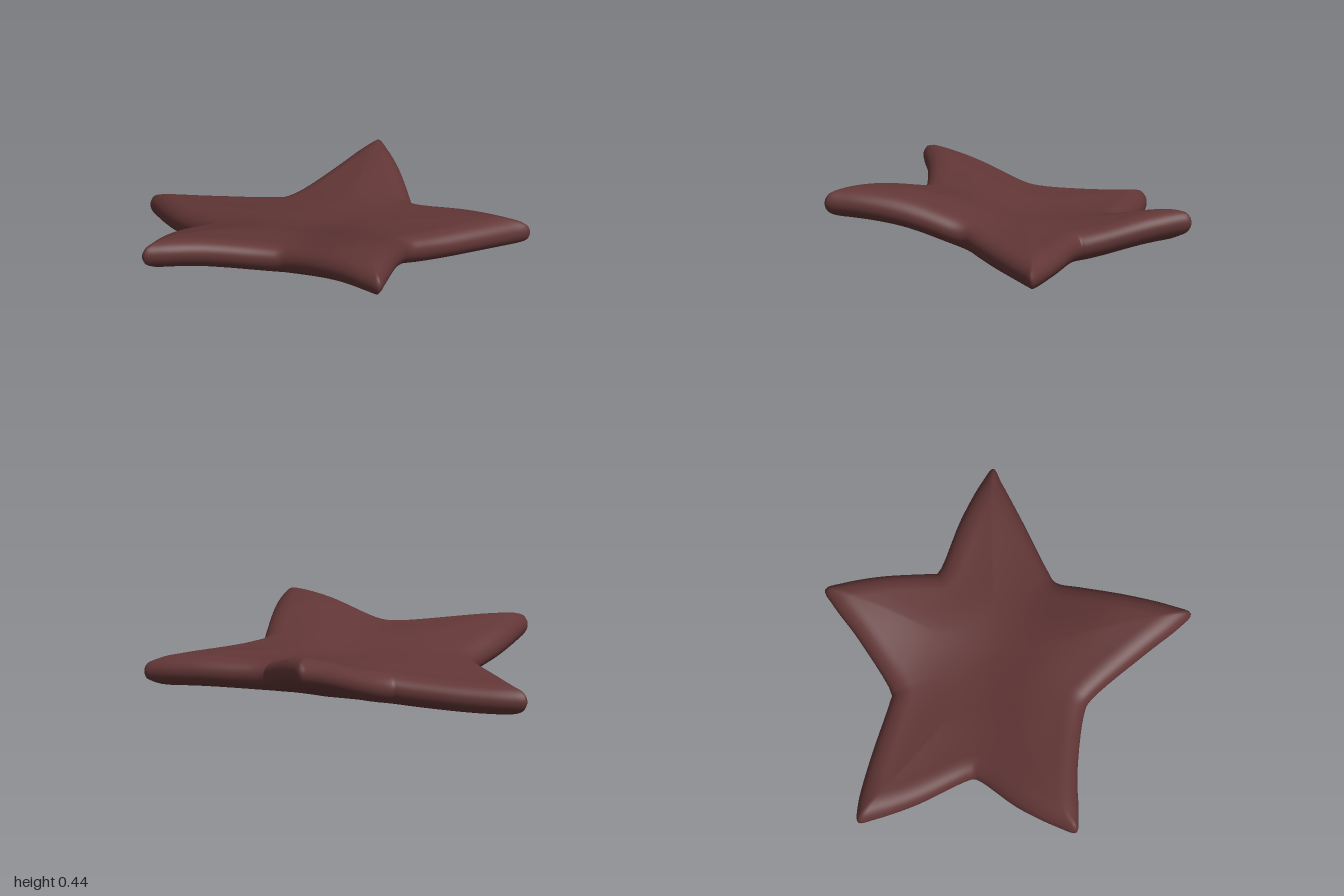
import * as THREE from 'three';

// Outline of the five arms in plan: x, z
const OUTLINE = [
  [0.39, -0.385], [0.70, -0.29], [0.92, -0.20], [0.995, -0.15], [0.92, -0.10], [0.70, 0.035],
  [0.45, 0.18], [0.38, 0.23], [0.35, 0.36], [0.30, 0.64], [0.26, 0.84], [0.225, 0.945],
  [0.145, 0.89], [-0.01, 0.73], [-0.27, 0.465], [-0.33, 0.445], [-0.68, 0.44], [-0.91, 0.468],
  [-1.0, 0.465], [-0.975, 0.37], [-0.87, 0.15], [-0.71, -0.08], [-0.71, -0.11], [-0.85, -0.37],
  [-0.94, -0.58], [-0.965, -0.67], [-0.88, -0.68], [-0.63, -0.64], [-0.31, -0.565], [-0.27, -0.56],
  [-0.02, -0.75], [0.14, -0.90], [0.215, -0.95], [0.26, -0.86], [0.33, -0.65], [0.385, -0.41],
];
// Mid-height of the bent body at a few places: x, y, z
const HEIGHTS = [
  [-0.05, 0.145, -0.08], [0.1, 0.15, -0.27], // middle
  [0.98, 0.16, -0.15], [0.7, 0.172, -0.13], [0.39, 0.17, -0.38], // left arm
  [0.21, 0.27, -0.94], [0.2, 0.225, -0.65], [-0.3, 0.115, -0.56], // back arm
  [-0.96, 0.07, -0.67], [-0.7, 0.085, -0.5], [-0.4, 0.115, -0.33], [-0.71, 0.165, -0.1], // right back arm
  [-0.99, 0.30, 0.46], [-0.75, 0.28, 0.33], [-0.4, 0.23, 0.2], [-0.29, 0.27, 0.45], // right front arm
  [0.22, 0.36, 0.94], [0.22, 0.355, 0.78], [0.18, 0.32, 0.5], [0.12, 0.235, 0.22], [0.38, 0.22, 0.23], // front arm
];
const CENTRE = { x: -0.09, z: -0.06 };
const RIM = 0.105; // width of the rounded edge
const RINGS = 36;
const SIDES = 180;

// Solves a linear system held as rows with the right-hand side last
function solve(rows) {
  const n = rows.length;
  for (let c = 0; c < n; c++) {
    let pivot = c;
    for (let r = c + 1; r < n; r++) if (Math.abs(rows[r][c]) > Math.abs(rows[pivot][c])) pivot = r;
    [rows[c], rows[pivot]] = [rows[pivot], rows[c]];
    for (let r = 0; r < n; r++) {
      if (r === c) continue;
      const f = rows[r][c] / rows[c][c];
      for (let k = c; k <= n; k++) rows[r][k] -= f * rows[c][k];
    }
  }
  return rows.map((row, i) => row[n] / row[i]);
}

// Smooth sheet (thin-plate spline) through the given heights
function bentSheet(points) {
  const basis = (x, z) => [
    ...points.map((p) => {
      const r2 = (x - p[0]) ** 2 + (z - p[2]) ** 2;
      return r2 > 0 ? r2 * Math.log(r2) : 0;
    }), 1, x, z];
  const rows = points.map((p) => [...basis(p[0], p[2]), p[1]]);
  for (const term of [() => 1, (p) => p[0], (p) => p[2]]) rows.push([...points.map(term), 0, 0, 0, 0]);
  const weights = solve(rows);
  return (x, z) => basis(x, z).reduce((sum, b, i) => sum + b * weights[i], 0);
}

// Shortest distance in plan from a point to the outline
function edgeDistance(x, z, rim) {
  let best = Infinity;
  for (let i = 0; i < rim.length; i++) {
    const a = rim[i], b = rim[(i + 1) % rim.length];
    const dx = b.x - a.x, dz = b.z - a.z;
    const t = THREE.MathUtils.clamp(((x - a.x) * dx + (z - a.z) * dz) / (dx * dx + dz * dz), 0, 1);
    best = Math.min(best, Math.hypot(x - a.x - t * dx, z - a.z - t * dz));
  }
  return best;
}

// Rounded at the edge, slightly fuller toward the middle
function halfThickness(distance) {
  const d = Math.min(1, distance / RIM);
  return Math.sqrt(1 - (1 - d) ** 2) * (0.082 + 0.015 * THREE.MathUtils.smoothstep(distance, 0.06, 0.35));
}

function starGeometry() {
  const curve = new THREE.CatmullRomCurve3(OUTLINE.map(([x, z]) => new THREE.Vector3(x, 0, z)), true, 'centripetal');
  // five samples on each span, so every tip and corner is kept
  const rim = Array.from({ length: SIDES }, (_, i) => curve.getPoint(i / SIDES));
  const sheet = bentSheet(HEIGHTS);
  const top = [], bottom = [], index = [];

  // rings from the centre outward, closer together near the rim
  for (let j = 1; j <= RINGS; j++) {
    const s = 1 - (1 - j / RINGS) ** 2;
    for (const p of rim) {
      const x = THREE.MathUtils.lerp(CENTRE.x, p.x, s);
      const z = THREE.MathUtils.lerp(CENTRE.z, p.z, s);
      const y = sheet(x, z);
      const h = j === RINGS ? 0 : halfThickness(edgeDistance(x, z, rim));
      top.push(x, y + h, z);
      if (j < RINGS) bottom.push(x, y - h, z);
    }
  }
  const bottomStart = top.length / 3;
  const centreTop = bottomStart + bottom.length / 3;
  const y = sheet(CENTRE.x, CENTRE.z);
  const h = halfThickness(edgeDistance(CENTRE.x, CENTRE.z, rim));
  const positions = [...top, ...bottom, CENTRE.x, y + h, CENTRE.z, CENTRE.x, y - h, CENTRE.z];

  // both faces share the outermost ring
  const upper = (j, i) => j * SIDES + (i % SIDES);
  const lower = (j, i) => (j === RINGS - 1 ? 0 : bottomStart) + upper(j, i);
  for (let i = 0; i < SIDES; i++) {
    index.push(centreTop, upper(0, i + 1), upper(0, i));
    index.push(centreTop + 1, lower(0, i), lower(0, i + 1));
    for (let j = 0; j < RINGS - 1; j++) {
      index.push(upper(j, i), upper(j, i + 1), upper(j + 1, i), upper(j, i + 1), upper(j + 1, i + 1), upper(j + 1, i));
      index.push(lower(j, i), lower(j + 1, i), lower(j, i + 1), lower(j, i + 1), lower(j + 1, i), lower(j + 1, i + 1));
    }
  }

  const geometry = new THREE.BufferGeometry();
  geometry.setAttribute('position', new THREE.Float32BufferAttribute(positions, 3));
  geometry.setIndex(index);
  geometry.computeVertexNormals();
  geometry.computeBoundingBox();
  geometry.translate(0, -geometry.boundingBox.min.y, 0);
  return geometry;
}

export function createModel() {
  const group = new THREE.Group();
  group.name = 'starfish';
  const skin = new THREE.MeshStandardMaterial({ color: 0x623636 });
  skin.name = 'reddish brown skin';
  const body = new THREE.Mesh(starGeometry(), skin);
  body.name = 'fiveArmedBody';
  group.add(body);
  return group;
}
